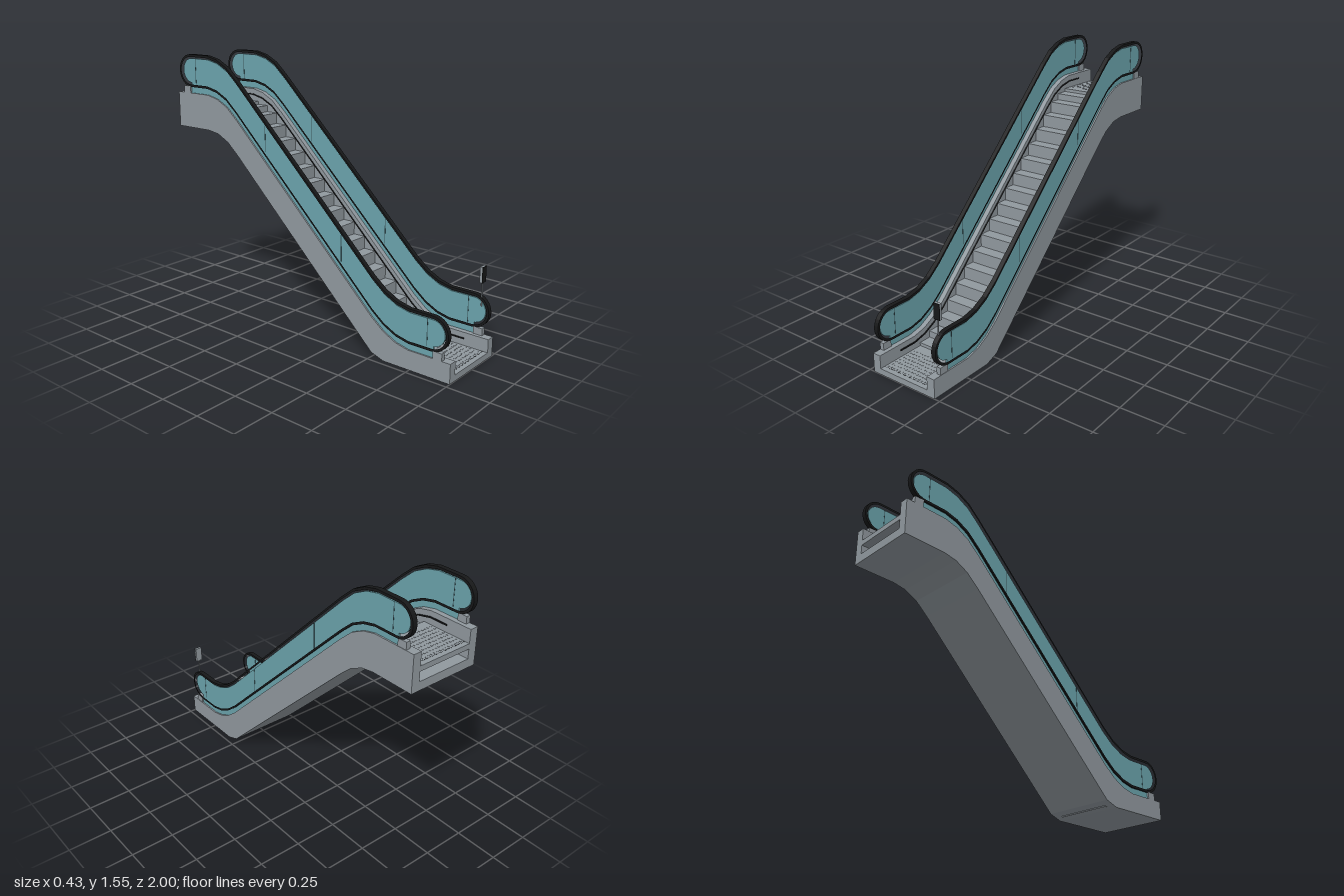
import * as THREE from 'three';
import { mergeGeometries } from 'three/addons/utils/BufferGeometryUtils.js';

const mat = (name, color, side = THREE.FrontSide) =>
  new THREE.MeshStandardMaterial({ name, color, side });

// Travel line and underside, as [z, y] knots from the lower to the upper landing
const TRAVEL = [[1, 0], [0.74, 0], [0.66, 0.018], [0.58, 0.058], [0.5, 0.121],
  [-0.5, 1.078], [-0.58, 1.147], [-0.66, 1.187], [-0.74, 1.205], [-1, 1.205]];
const UNDER = [[1, 0], [0.58, 0], [0.5, 0.028], [-0.5, 0.983], [-0.58, 1.052],
  [-0.66, 1.092], [-0.74, 1.105], [-1, 1.105]];
const KNOTS = [...new Set([...TRAVEL, ...UNDER].map(p => p[0]))];

function sample(line, z) {
  for (let i = 1; i < line.length; i++) {
    const [za, ya] = line[i - 1], [zb, yb] = line[i];
    if (z >= zb) return ya + (yb - ya) * (za - z) / (za - zb);
  }
  return line[line.length - 1][1];
}
const travel = z => sample(TRAVEL, z);
const under = z => sample(UNDER, z);
const above = d => z => travel(z) + d;
const span = (z0, z1) => [z0, ...KNOTS.filter(z => z < z0 && z > z1), z1];

// Extrude a side outline of [z, y] points across x0..x1
const toVec = pts => pts.map(([z, y]) => new THREE.Vector2(-z, y));
function extrudeSide(pts, x0, x1, hole) {
  const shape = new THREE.Shape(toVec(pts));
  if (hole) shape.holes.push(new THREE.Path(toVec(hole)));
  return new THREE.ExtrudeGeometry(shape, { depth: x1 - x0, bevelEnabled: false })
    .rotateY(Math.PI / 2).translate(x0, 0, 0);
}
function band(low, high, z0, z1, x0, x1) {
  const zs = span(z0, z1);
  return extrudeSide([...zs.map(z => [z, low(z)]),
    ...zs.slice().reverse().map(z => [z, high(z)])], x0, x1);
}

// Closed balustrade outline: half round at each end, radius r
function loop(r) {
  const end = 0.885, mid = 0.247, zs = span(end, -end), pts = [];
  zs.forEach(z => pts.push([z, travel(z) + mid + r]));
  for (let i = 1; i < 16; i++) {
    const a = Math.PI * i / 16;
    pts.push([-end - r * Math.sin(a), travel(-end) + mid + r * Math.cos(a)]);
  }
  zs.slice().reverse().forEach(z => pts.push([z, travel(z) + mid - r]));
  for (let i = 1; i < 16; i++) {
    const a = Math.PI * i / 16;
    pts.push([end + r * Math.sin(a), travel(end) + mid - r * Math.cos(a)]);
  }
  return pts;
}

// Box given by its limits
function box(x0, x1, y0, y1, z0, z1) {
  return new THREE.BoxGeometry(x1 - x0, y1 - y0, z1 - z0)
    .translate((x0 + x1) / 2, (y0 + y1) / 2, (z0 + z1) / 2);
}

export function createModel() {
  const model = new THREE.Group();
  model.name = 'escalator';
  const steel = mat('brushed steel', 0x90989e);
  const glass = mat('teal glass', 0x6ba3ac);
  const rubber = mat('black rubber', 0x161718);
  const seam = mat('dark seam', 0x3b555b);
  const add = (name, geometry, material, parent = model) => {
    const mesh = new THREE.Mesh(geometry, material);
    mesh.name = name;
    parent.add(mesh);
    return mesh;
  };

  // Truss underside between the side walls
  add('trussFloor', band(under, z => Math.max(under(z) + 0.006, travel(z) - 0.05),
    1, -1, -0.168, 0.168), steel);

  // Balustrades and side walls, mirrored
  for (const s of [1, -1]) {
    const side = new THREE.Group();
    side.name = s > 0 ? 'leftSide' : 'rightSide';
    model.add(side);
    const mid = s * 0.203;
    const put = (name, make, a, b, material) =>
      add(name, make(Math.min(s * a, s * b), Math.max(s * a, s * b)), material, side);

    put('sideWall', (a, b) => band(under, above(0.112), 1, -1, a, b), 0.167, 0.217, steel);
    put('skirtBrush', (a, b) => band(above(0.072), above(0.08), 0.85, -0.85, a, b),
      0.162, 0.168, rubber);
    add('handrail', extrudeSide(loop(0.098), mid - 0.014, mid + 0.014, loop(0.083)), rubber, side);
    add('glassPanel', extrudeSide(loop(0.073), mid - 0.005, mid + 0.005), glass, side);
    add('glassFoot', band(above(0.108), above(0.176), 0.89, -0.89, mid - 0.005, mid + 0.005),
      glass, side);

    // Joints between glass sheets
    for (const z of [0.85, 0.28, -0.28, -0.85])
      add('glassJoint', box(mid - 0.006, mid + 0.006, travel(z) + 0.165, travel(z) + 0.318,
        z - 0.002, z + 0.002), seam, side);

    // Blocks carrying the rounded ends
    for (const e of [1, -1]) {
      const y = travel(e);
      add('newelBase', box(mid - 0.014, mid + 0.012, y + 0.11, y + 0.153,
        e * 0.92 - 0.028, e * 0.92 + 0.028), steel, side);
    }
  }

  // Steps
  const pitch = 0.0775, first = 0.6975, count = 18;
  const steps = new THREE.Group();
  steps.name = 'steps';
  model.add(steps);
  for (let k = 0; k < count; k++) {
    const front = first - k * pitch, back = front - pitch;
    const top = travel((front + back) / 2) + 0.035;
    add('step', box(-0.167, 0.167, Math.max(0.004, top - 0.085), top, back, front), steel, steps);
  }

  // Landing plates with low studs and a comb of teeth
  const stepEnd = first - count * pitch;
  for (const [name, z0, z1, e] of [['lowerLanding', first, 1, 1], ['upperLanding', -1, stepEnd, -1]]) {
    const y = travel(e) + 0.035;
    add(name, box(-0.167, 0.167, y - 0.03, y, z0, z1), steel);
    const studs = [];
    for (let i = 0; i < 16; i++) {
      const x = -0.15 + i * 0.02;
      for (let j = 0; j < 8; j++) {
        const z = e * (0.76 + j * 0.028);
        studs.push(box(x - 0.004, x + 0.004, y - 0.001, y + 0.0015, z - 0.004, z + 0.004));
      }
    }
    add(name + 'Studs', mergeGeometries(studs), steel);
    const teeth = [];
    for (let i = 0; i < 33; i++) {
      const x = -0.16 + i * 0.01;
      teeth.push(box(x - 0.002, x + 0.002, y - 0.001, y + 0.001, e * 0.97 - 0.002, e * 0.97 + 0.002));
    }
    add(name + 'Comb', mergeGeometries(teeth), rubber);
  }

  // Notice board on a thin post
  const sign = new THREE.Group();
  sign.name = 'noticeBoard';
  model.add(sign);
  add('post', new THREE.CylinderGeometry(0.004, 0.004, 0.15, 10).translate(0.196, 0.355, 0.932),
    steel, sign);
  add('board', box(0.176, 0.216, 0.418, 0.508, 0.924, 0.938), steel, sign);
  add('boardFace', box(0.176, 0.216, 0.418, 0.508, 0.938, 0.941), rubber, sign);

  return model;
}
